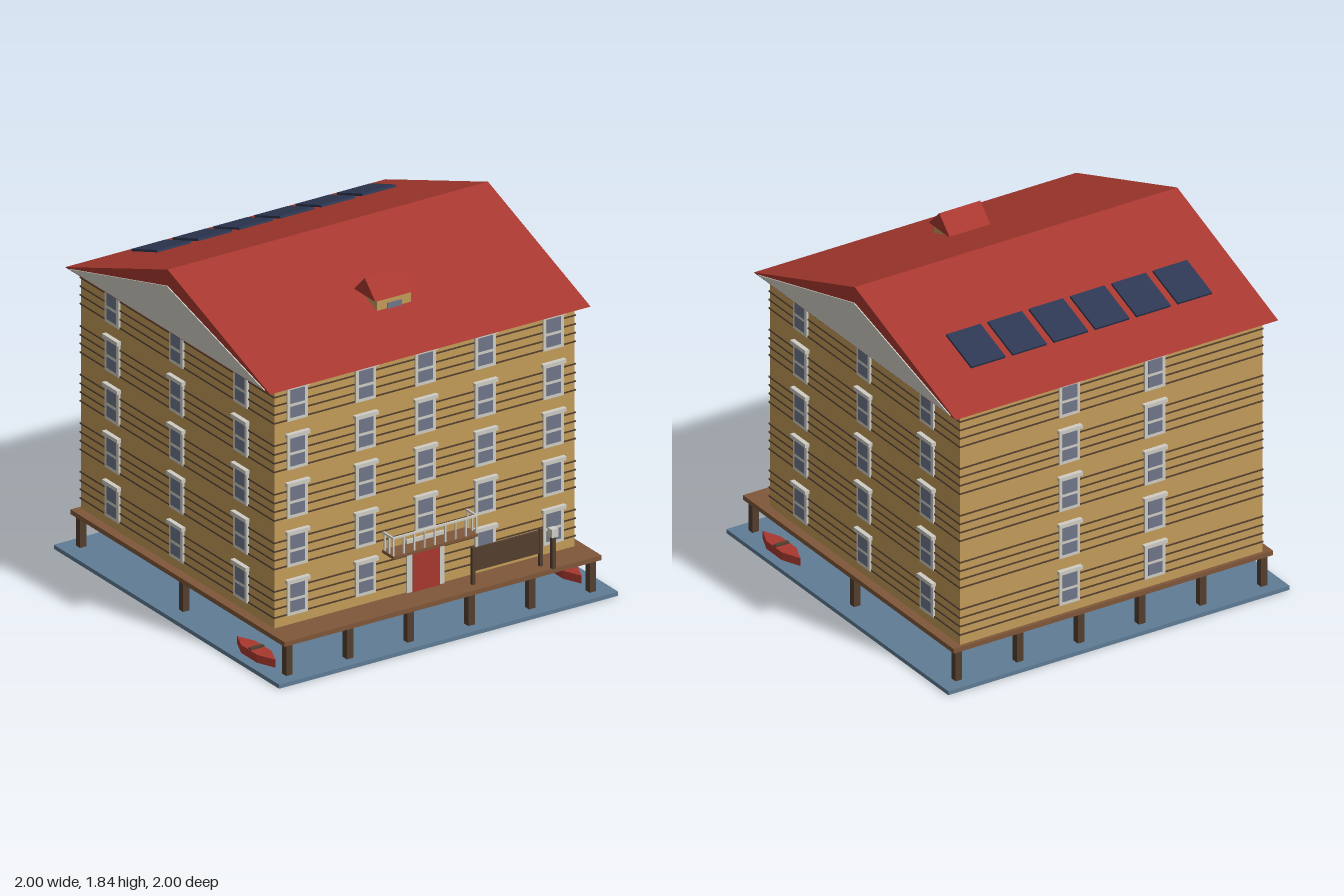
import * as THREE from 'three';

const mat = (name, color) => {
  const m = new THREE.MeshStandardMaterial({ color });
  m.name = name;
  return m;
};

export function createModel() {
  const wall = mat('ochre wall', 0xc49c5a);
  const dark = mat('dark timber', 0x54402f);
  const plank = mat('deck plank', 0x80573a);
  const red = mat('red paint', 0xa8382f);
  const trim = mat('pale trim', 0xcfcdc4);
  const glass = mat('window glass', 0x70768a);
  const solar = mat('solar panel', 0x2e3853);
  const water = mat('water', 0x5f7c95);

  const model = new THREE.Group();
  model.name = 'stiltHouse';

  const add = (parent, name, geo, material, x = 0, y = 0, z = 0) => {
    const mesh = new THREE.Mesh(geo, material);
    mesh.name = name;
    mesh.position.set(x, y, z);
    parent.add(mesh);
    return mesh;
  };
  // Box given by its min and max on each axis
  const box = (parent, name, material, [x0, x1], [y0, y1], [z0, z1]) =>
    add(parent, name, new THREE.BoxGeometry(x1 - x0, y1 - y0, z1 - z0), material,
      (x0 + x1) / 2, (y0 + y1) / 2, (z0 + z1) / 2);
  // Prism along x from [z, y] corners
  const prism = (parent, name, material, corners, x0, x1) => {
    const shape = new THREE.Shape(corners.map(([z, y]) => new THREE.Vector2(-z, y)));
    const geo = new THREE.ExtrudeGeometry(shape, { depth: x1 - x0, bevelEnabled: false });
    geo.rotateY(Math.PI / 2);
    return add(parent, name, geo, material, x0, 0, 0);
  };
  const group = (name, parent = model) => {
    const g = new THREE.Group();
    g.name = name;
    parent.add(g);
    return g;
  };

  // Water, stilts and deck
  box(model, 'waterSlab', water, [-1, 1], [0, 0.022], [-1, 1]);
  const stilts = group('stilts');
  for (let i = 0; i < 6; i++) {
    const x = -0.895 + i * 0.358;
    for (const z of [-0.915, 0, 0.915])
      box(stilts, 'stilt', dark, [x - 0.019, x + 0.019], [0.022, 0.19], [z - 0.019, z + 0.019]);
  }
  box(model, 'deck', plank, [-0.935, 0.935], [0.19, 0.215], [-0.95, 0.95]);

  // House body
  const HX = 0.885, ZF = 0.785, ZB = -0.93, ZC = (ZF + ZB) / 2;
  const FLOORS = 5, PITCH = 0.262, SILL = 0.267;
  box(model, 'walls', wall, [-HX, HX], [0.215, 1.515], [ZB, ZF]);

  // Dark seams between the boards, four on each floor
  const seams = group('boardSeams');
  for (let f = 0; f < FLOORS; f++)
    for (let k = 0; k < 4; k++) {
      const y = SILL + f * PITCH + 0.005 + k * 0.047;
      box(seams, 'boardSeam', dark, [-HX - 0.005, HX + 0.005], [y - 0.0035, y + 0.0035], [ZB - 0.005, ZF + 0.005]);
    }

  // Windows, built facing +z with the sill at y = 0
  const windows = group('windows');
  const addWindow = (x, y, z, turn) => {
    const w = group('window', windows);
    box(w, 'windowFrame', trim, [-0.06, 0.06], [0, 0.178], [-0.005, 0.012]);
    box(w, 'windowLintel', trim, [-0.068, 0.068], [0.175, 0.195], [-0.005, 0.024]);
    box(w, 'lowerPane', glass, [-0.042, 0.042], [0.018, 0.078], [0.01, 0.014]);
    box(w, 'upperPane', glass, [-0.042, 0.042], [0.094, 0.168], [0.01, 0.014]);
    w.position.set(x, y, z);
    w.rotation.y = turn;
  };
  for (let f = 0; f < FLOORS; f++) {
    const y = SILL + f * PITCH;
    for (const x of [-0.755, -0.353, 0, 0.353, 0.755])
      if (x !== 0 || f > 0) addWindow(x, y, ZF, 0);
    for (const x of [-0.25, 0.25]) addWindow(x, y, ZB, Math.PI);
    for (const z of [-0.57, 0, 0.57])
      for (const s of [-1, 1]) addWindow(s * HX, y, ZC + z, s * Math.PI / 2);
  }

  // Main roof with pale gable faces
  prism(model, 'roof', red, [[0.838, 1.512], [ZC, 1.842], [-0.982, 1.512]], -0.945, 0.945);
  for (const s of [-1, 1])
    prism(model, 'gable', trim, [[0.795, 1.519], [ZC, 1.755], [-0.94, 1.519]],
      s * 0.947 - 0.004, s * 0.947 + 0.004);

  // Dormer on the front slope
  const dormer = group('dormer');
  box(dormer, 'dormerWalls', wall, [-0.1, 0.1], [1.6, 1.692], [0.35, 0.515]);
  prism(dormer, 'dormerRoof', red, [[0.53, 1.688], [0.435, 1.782], [0.34, 1.688]], -0.12, 0.12);
  box(dormer, 'dormerWindow', glass, [-0.042, 0.042], [1.615, 1.658], [0.513, 0.521]);

  // Row of solar panels raised above the back slope
  const panels = group('solarPanels');
  for (let i = 0; i < 6; i++) {
    const p = add(panels, 'solarPanel', new THREE.BoxGeometry(0.2, 0.012, 0.24), solar,
      -0.605 + i * 0.242, 1.67, -0.64);
    p.rotation.x = -Math.atan(0.35);
  }

  // Front door
  box(model, 'doorFrame', trim, [-0.11, 0.11], [0.215, 0.5], [ZF - 0.005, ZF + 0.012]);
  box(model, 'door', red, [-0.08, 0.08], [0.215, 0.46], [ZF, ZF + 0.018]);

  // Balcony with railing on three sides
  const balcony = group('balcony');
  box(balcony, 'balconyFloor', plank, [-0.25, 0.25], [0.465, 0.48], [ZF, 0.885]);
  box(balcony, 'frontRail', trim, [-0.25, 0.25], [0.57, 0.58], [0.872, 0.882]);
  const baluster = (x, z) =>
    box(balcony, 'baluster', trim, [x - 0.004, x + 0.004], [0.48, 0.572], [z - 0.004, z + 0.004]);
  for (let i = 0; i < 9; i++) baluster(-0.244 + i * 0.061, 0.877);
  for (const s of [-1, 1]) {
    box(balcony, 'sideRail', trim, [s * 0.245 - 0.005, s * 0.245 + 0.005], [0.57, 0.58], [ZF, 0.88]);
    for (const z of [0.80, 0.84]) baluster(s * 0.244, z);
  }

  // Notice board on two posts
  const board = group('noticeBoard');
  box(board, 'board', dark, [0.21, 0.62], [0.285, 0.408], [0.88, 0.89]);
  for (const x of [0.219, 0.618])
    box(board, 'boardPost', dark, [x - 0.009, x + 0.009], [0.215, 0.415], [0.876, 0.894]);

  // Lamp post at the deck edge
  const lamp = group('lampPost');
  box(lamp, 'post', dark, [0.642, 0.662], [0.215, 0.39], [0.935, 0.955]);
  box(lamp, 'lampHead', trim, [0.633, 0.671], [0.388, 0.432], [0.926, 0.964]);

  // Pointed rowing boats beside the deck
  for (const s of [-1, 1]) {
    const boat = group('boat');
    const plan = new THREE.Shape([[0, -0.17], [0.043, -0.07], [0.043, 0.07], [0, 0.17], [-0.043, 0.07], [-0.043, -0.07]]
      .map(([x, y]) => new THREE.Vector2(x, y)));
    const hull = new THREE.ExtrudeGeometry(plan, { depth: 0.043, bevelEnabled: false });
    hull.rotateX(-Math.PI / 2);
    add(boat, 'hull', hull, red, 0, 0.022, 0);
    box(boat, 'seat', dark, [-0.04, 0.04], [0.06, 0.074], [-0.011, 0.011]);
    boat.position.set(s * 0.903, 0, 0.652);
  }

  return model;
}
